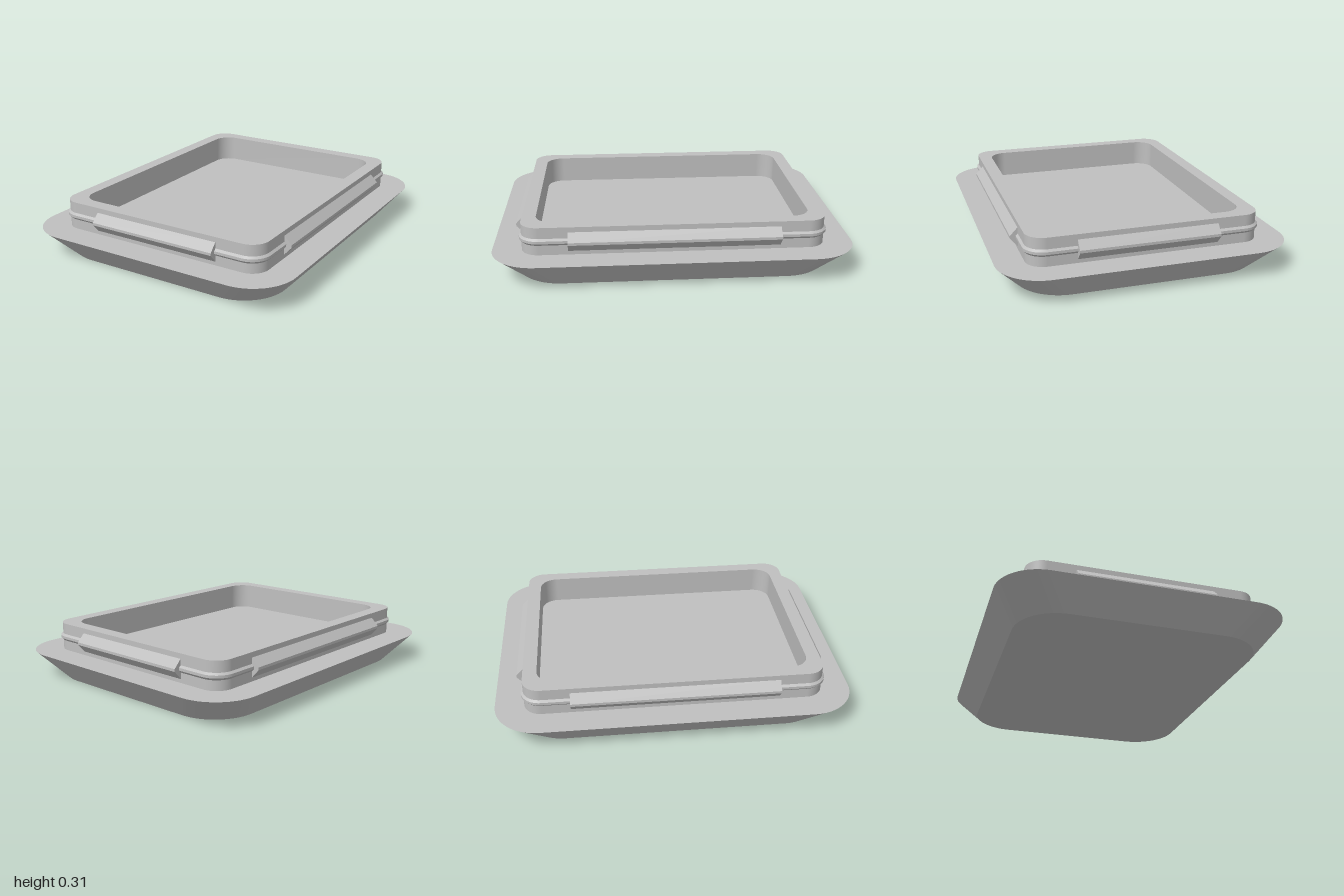
import * as THREE from 'three';
import { mergeGeometries } from 'three/addons/utils/BufferGeometryUtils.js';

// Points of a rounded rectangle with half width w, half depth d, corner radius r
function roundedRing([w, d, r, y], steps = 14) {
  const points = [];
  for (const [sx, sz, start] of [[1, 1, 0], [-1, 1, 1], [-1, -1, 2], [1, -1, 3]]) {
    for (let i = 0; i <= steps; i++) {
      const a = (start + i / steps) * Math.PI / 2;
      points.push([sx * (w - r) + r * Math.cos(a), y, sz * (d - r) + r * Math.sin(a)]);
    }
  }
  return points;
}

// Skin between successive rings; each band is smooth around, with a hard edge to the next
function loft(rings) {
  const bands = [];
  for (let k = 0; k < rings.length - 1; k++) {
    const low = roundedRing(rings[k]), high = roundedRing(rings[k + 1]);
    const n = low.length, index = [];
    for (let i = 0; i < n; i++) {
      const j = (i + 1) % n;
      index.push(i, n + i, j, j, n + i, n + j);
    }
    const band = new THREE.BufferGeometry();
    band.setAttribute('position', new THREE.Float32BufferAttribute([...low, ...high].flat(), 3));
    band.setIndex(index);
    band.computeVertexNormals();
    bands.push(band);
  }
  return mergeGeometries(bands);
}

export function createModel() {
  const group = new THREE.Group();
  const grey = new THREE.MeshStandardMaterial({ color: 0xbfbfbf });
  grey.name = 'light grey';

  function add(name, geometry) {
    const mesh = new THREE.Mesh(geometry, grey);
    mesh.name = name;
    group.add(mesh);
    return mesh;
  }

  // Flared base with a flat top that is also the recess floor
  const baseTop = 0.157;
  add('flaredBase', loft([
    [0, 0, 0, 0], [0.68, 0.87, 0.25, 0], [0.807, 1, 0.25, baseTop], [0, 0, 0, baseTop],
  ]));

  // Upright frame around the recess
  const W = 0.648, D = 0.838, top = 0.315;
  add('frame', loft([
    [W, D, 0.1, baseTop], [W, D, 0.1, top], [0.57, 0.76, 0.1, top], [0.57, 0.76, 0.1, baseTop],
  ]));

  // Thin bevelled rib running around the frame
  add('rib', loft([
    [W, D, 0.1, 0.213], [W + 0.012, D + 0.012, 0.112, 0.226],
    [W + 0.012, D + 0.012, 0.112, 0.241], [W, D, 0.1, 0.252],
  ]));

  // Bevelled grip on each of the four sides
  const profile = new THREE.Shape([
    [-0.01, 0.178], [0, 0.178], [0.043, 0.226], [0.043, 0.241], [0, 0.286], [-0.01, 0.286],
  ].map(([x, y]) => new THREE.Vector2(x, y)));
  const grips = [
    ['leftGrip', W, 1.16, 0], ['backGrip', D, 0.78, 1],
    ['rightGrip', W, 1.16, 2], ['frontGrip', D, 0.78, 3],
  ];
  for (const [name, offset, length, turn] of grips) {
    const geometry = new THREE.ExtrudeGeometry(profile, { depth: length, bevelEnabled: false });
    geometry.translate(offset, 0, -length / 2);
    add(name, geometry).rotation.y = turn * Math.PI / 2;
  }
  return group;
}
